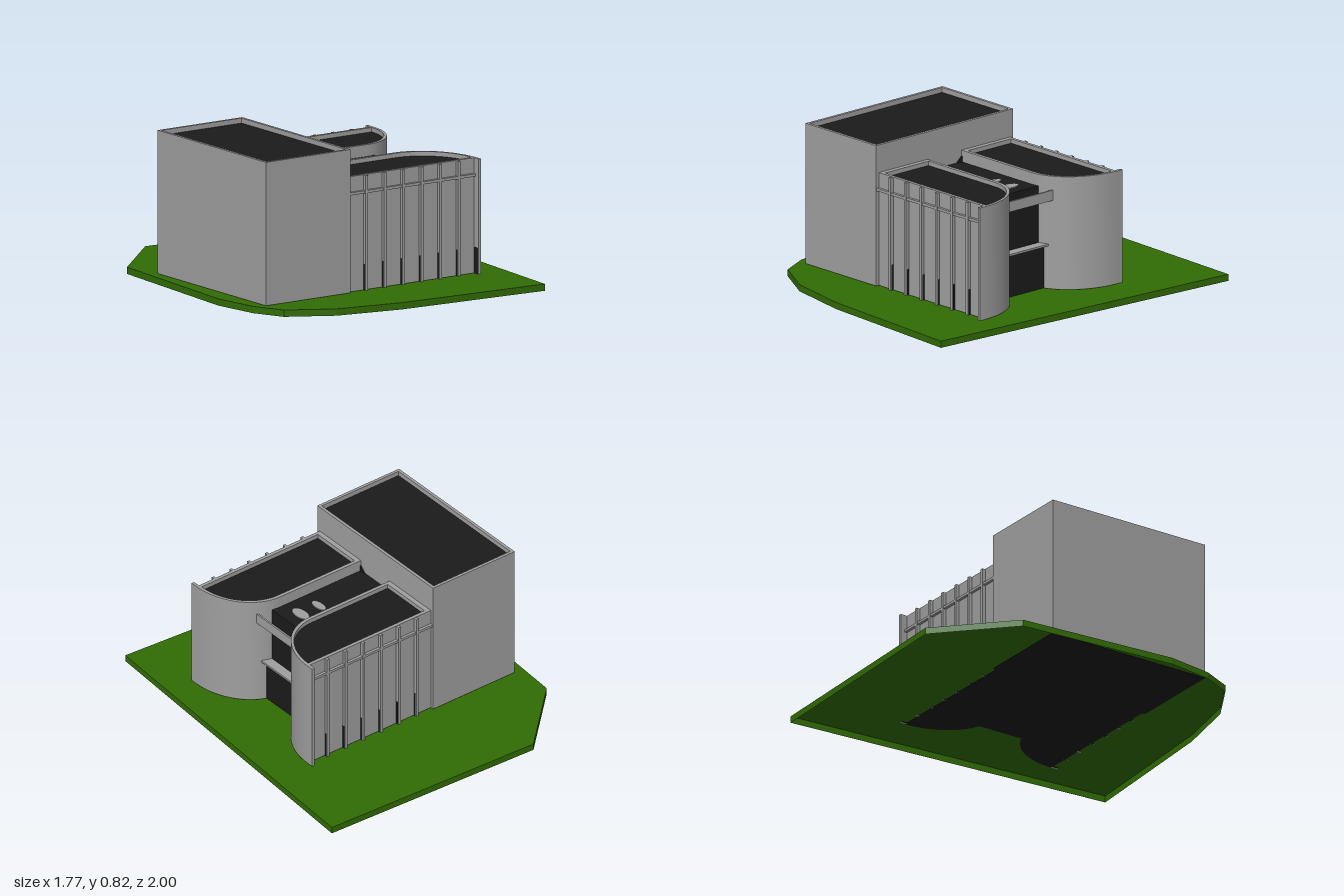
import * as THREE from 'three';
import { toCreasedNormals } from 'three/addons/utils/BufferGeometryUtils.js';

const material = (name, color, side = THREE.FrontSide) => {
  const m = new THREE.MeshStandardMaterial({ color, side });
  m.name = name;
  return m;
};

export function createModel() {
  const model = new THREE.Group();
  const concrete = material('concrete grey', 0x9f9f9f);
  const dark = material('dark roofing', 0x1b1b1b);
  const grass = material('grass green', 0x316c04, THREE.DoubleSide);
  const MID = 0.0825; // z of the building's axis of symmetry
  const LAWN = 0.037; // height of the lawn
  const BASE = 0.035; // underside of the building

  const add = (parent, name, geometry, mat) => {
    const mesh = new THREE.Mesh(geometry, mat);
    mesh.name = name;
    parent.add(mesh);
    return mesh;
  };
  const box = (parent, name, mat, x0, x1, y0, y1, z0, z1) => {
    const mesh = add(parent, name, new THREE.BoxGeometry(x1 - x0, y1 - y0, Math.abs(z1 - z0)), mat);
    mesh.position.set((x0 + x1) / 2, (y0 + y1) / 2, (z0 + z1) / 2);
  };
  // Upright prism from a plan outline of [x, z] points, with an optional hole
  const prism = (outline, y0, y1, hole) => {
    const loop = (pts, clockwise) => {
      const v = pts.map(([x, z]) => new THREE.Vector2(x, z));
      return THREE.ShapeUtils.isClockWise(v) === clockwise ? v : v.reverse();
    };
    const shape = new THREE.Shape(loop(outline, false));
    if (hole) shape.holes.push(new THREE.Path(loop(hole, true)));
    const g = new THREE.ExtrudeGeometry(shape, { depth: y1 - y0, bevelEnabled: false });
    g.rotateX(Math.PI / 2).translate(0, y1, 0);
    return toCreasedNormals(g, 0.5);
  };
  const rect = (x0, x1, z0, z1) => [[x0, z0], [x1, z0], [x1, z1], [x0, z1]];

  // Lawn: a flat sheet with a skirt, open underneath
  const lawn = new THREE.Group();
  lawn.name = 'lawn';
  model.add(lawn);
  const corners = [
    [-0.44, 1], [0.885, 0.945], [0.742, -1], [-0.15, -0.935], [-0.52, -0.86],
    [-0.765, -0.72], [-0.845, -0.55], [-0.885, -0.29], [-0.82, 0.635],
  ].map(([x, y]) => new THREE.Vector2(x, y));
  const sheet = new THREE.ShapeGeometry(new THREE.Shape(corners));
  add(lawn, 'lawnTop', sheet.rotateX(-Math.PI / 2).translate(0, LAWN, 0), grass);
  corners.forEach((a, i) => {
    // Each skirt panel faces outward from its edge
    const b = corners[(i + 1) % corners.length];
    const panel = add(lawn, 'lawnSkirt', new THREE.PlaneGeometry(a.distanceTo(b), LAWN), grass);
    panel.position.set((a.x + b.x) / 2, LAWN / 2, -(a.y + b.y) / 2);
    panel.rotation.y = Math.atan2(a.y - b.y, a.x - b.x);
  });

  // Tall block: parapet walls around a sunken roof
  const block = new THREE.Group();
  block.name = 'tallBlock';
  model.add(block);
  const outer = rect(-0.78, -0.226, -0.412, 0.577);
  const inner = rect(-0.763, -0.243, -0.395, 0.56);
  add(block, 'blockFooting', prism(outer, BASE, 0.038), dark);
  add(block, 'blockWalls', prism(outer, 0.038, 0.817, inner), concrete);
  add(block, 'blockRoof', prism(inner, 0.78, 0.79), dark);

  // Two mirrored wings with a rounded inner corner
  const wingPlan = (s, inset) => {
    const x0 = -0.226 + inset * 1.4;
    const pts = [[x0, MID + s * (0.475 - inset)], [x0, MID + s * (0.122 + inset)]];
    for (let i = 0; i <= 20; i++) {
      const a = (i / 20) * Math.PI / 2;
      pts.push([0.32 + (0.291 - inset) * Math.sin(a), MID + s * (0.475 - inset - (0.353 - 2 * inset) * Math.cos(a))]);
    }
    return pts;
  };
  for (const s of [1, -1]) {
    const wing = new THREE.Group();
    wing.name = s > 0 ? 'frontWing' : 'backWing';
    model.add(wing);
    add(wing, 'wingFooting', prism(wingPlan(s, 0), BASE, 0.038), dark);
    add(wing, 'wingWalls', prism(wingPlan(s, 0), 0.038, 0.664, wingPlan(s, 0.02)), concrete);
    add(wing, 'wingRoof', prism(wingPlan(s, 0.02), 0.63, 0.64), dark);
    // Facade ribs with dark reveals at their feet, horizontal band and end fin
    for (let i = 0; i < 6; i++) {
      const x = -0.12 + i * 0.121;
      box(wing, 'facadeRib', concrete, x - 0.008, x + 0.008, BASE, 0.662, MID + s * 0.47, MID + s * 0.4945);
      box(wing, 'ribReveal', dark, x - 0.0085, x + 0.0085, BASE, 0.18, MID + s * 0.47, MID + s * 0.488);
    }
    box(wing, 'facadeBand', concrete, -0.226, 0.6, 0.565, 0.58, MID + s * 0.47, MID + s * 0.491);
    box(wing, 'endFin', concrete, 0.594, 0.611, BASE, 0.664, MID + s * 0.47, MID + s * 0.515);
    box(wing, 'finReveal', dark, 0.5935, 0.6, BASE, 0.18, MID + s * 0.47, MID + s * 0.512);
  }

  // Dark glazed entrance hall between the wings
  const hall = new THREE.Group();
  hall.name = 'entranceHall';
  model.add(hall);
  box(hall, 'upperHall', dark, -0.23, 0.374, BASE, 0.6, MID - 0.126, MID + 0.126);
  box(hall, 'lowerHall', dark, 0.2, 0.404, BASE, 0.275, MID - 0.138, MID + 0.138);
  box(hall, 'entranceLedge', concrete, 0.36, 0.43, 0.274, 0.285, MID - 0.148, MID + 0.148);
  box(hall, 'entranceFascia', concrete, 0.442, 0.452, 0.53, 0.587, MID - 0.16, MID + 0.16);

  // Small triangular gussets where the hall roof meets the tall block
  for (const s of [1, -1]) {
    const gusset = new THREE.Shape([[0.124, 0.599], [0.084, 0.599], [0.124, 0.636]]
      .map(([w, y]) => new THREE.Vector2(s * w, y)));
    const g = new THREE.ExtrudeGeometry(gusset, { depth: 0.008, bevelEnabled: false });
    add(hall, 'roofGusset', g.rotateY(-Math.PI / 2).translate(-0.219, 0, MID), dark);
  }

  // Shallow rooflights
  for (const [x, rx, rz] of [[0.157, 0.025, 0.053], [0.28, 0.033, 0.062]]) {
    const light = add(hall, 'rooflight', new THREE.CylinderGeometry(1, 1, 0.006, 24), concrete);
    light.scale.set(rx, 1, rz);
    light.position.set(x, 0.602, MID);
  }
  return model;
}
